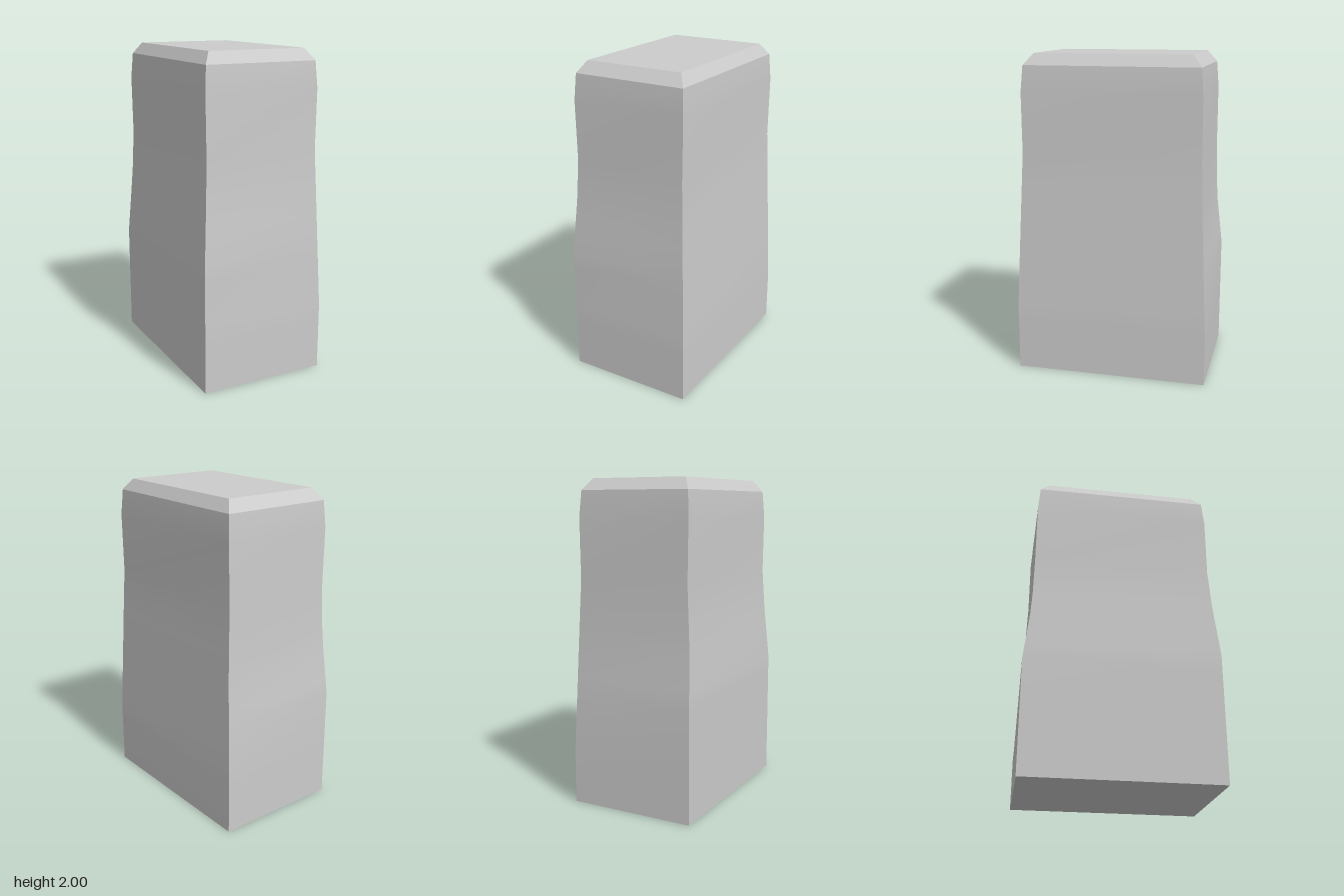
import * as THREE from 'three';

// Corner edges, counter-clockwise from above: sign in x and z, and [y, |x|, |z|] going up.
const shoulder = [[1.4, 0.363, 0.552], [1.77, 0.368, 0.551], [1.93, 0.358, 0.538]];
const corners = [
  { sx: -1, sz: 1, path: [[0, 0.4, 0.6], [0.8, 0.4, 0.6], [1.15, 0.375, 0.567], ...shoulder] },
  { sx: 1, sz: 1, path: [[0, 0.4, 0.6], [0.42, 0.4, 0.6], [1.15, 0.373, 0.564], ...shoulder] },
  { sx: 1, sz: -1, path: [[0, 0.4, 0.6], [0.32, 0.4, 0.6], [1.0, 0.379, 0.567], ...shoulder] },
  { sx: -1, sz: -1, path: [[0, 0.4, 0.6], [0.7, 0.4, 0.6], [1.0, 0.385, 0.566], [1.15, 0.375, 0.557], ...shoulder] },
];
const levels = [0, 0.32, 0.42, 0.7, 0.8, 1.0, 1.15, 1.4, 1.77, 1.93];

// Point on a corner edge at height y
function cornerAt({ sx, sz, path }, y) {
  let i = 1;
  while (i < path.length - 1 && path[i][0] < y) i++;
  const [y0, x0, z0] = path[i - 1];
  const [y1, x1, z1] = path[i];
  const t = (y - y0) / (y1 - y0);
  return [sx * THREE.MathUtils.lerp(x0, x1, t), y, sz * THREE.MathUtils.lerp(z0, z1, t)];
}

// Smooth strip through rows of [left, right] points, from bottom to top
function strip(rows) {
  const index = [];
  for (let i = 0; i < rows.length - 1; i++) {
    const a = i * 2;
    index.push(a, a + 1, a + 3, a, a + 3, a + 2);
  }
  const geometry = new THREE.BufferGeometry();
  geometry.setAttribute('position', new THREE.Float32BufferAttribute(rows.flat(2), 3));
  geometry.setIndex(index);
  geometry.computeVertexNormals();
  return geometry;
}

export function createModel() {
  const group = new THREE.Group();
  group.name = 'wornBlock';
  const material = new THREE.MeshStandardMaterial({ color: 0xcccccc });
  const add = (name, geometry) => {
    const mesh = new THREE.Mesh(geometry, material);
    mesh.name = name;
    group.add(mesh);
  };

  const topRing = corners.map(({ sx, sz }) => [sx * 0.313, 2, sz * 0.481]);
  const names = ['front', 'left', 'back', 'right'];

  // Four tapering walls, each with a chamfer above it
  names.forEach((name, i) => {
    const j = (i + 1) % 4;
    const rows = levels.map((y) => [cornerAt(corners[i], y), cornerAt(corners[j], y)]);
    add(name + 'Wall', strip(rows));
    add(name + 'Chamfer', strip([rows[rows.length - 1], [topRing[i], topRing[j]]]));
  });

  // Flat top and underside
  const base = corners.map((c) => cornerAt(c, 0));
  add('top', strip([[topRing[0], topRing[1]], [topRing[3], topRing[2]]]));
  add('underside', strip([[base[3], base[2]], [base[0], base[1]]]));

  return group;
}
